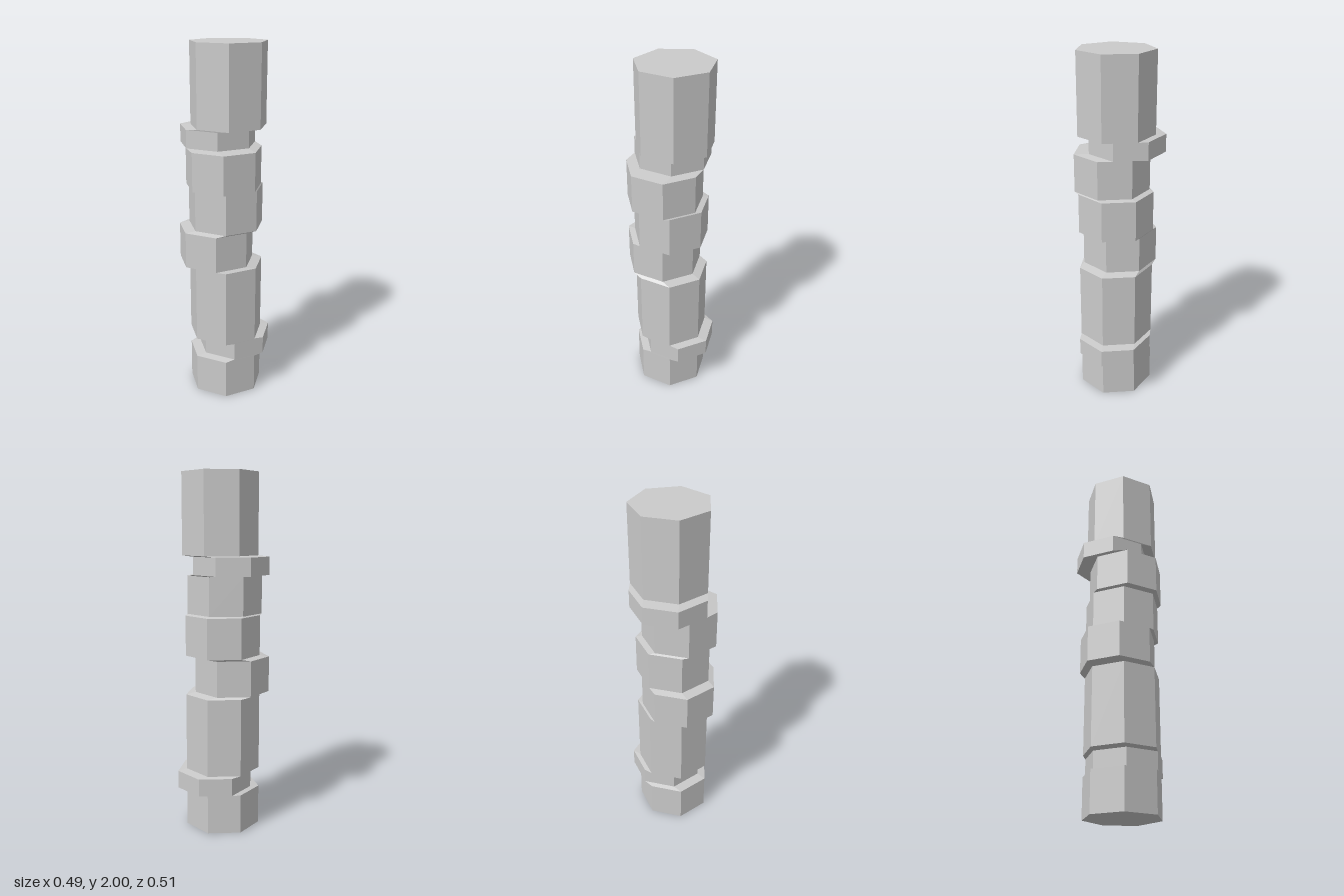
import * as THREE from 'three';

// Heptagonal column whose stacked segments are shifted sideways: [bottom, top, x, z]
const RADIUS = 0.213;
const SEGMENTS = [
  [0, 0.223, 0.008, 0.004],
  [0.231, 0.331, 0.032, -0.046],
  [0.337, 0.777, 0.008, 0.004],
  [0.789, 0.99, -0.029, 0.044],
  [1.0, 1.226, 0.008, 0.004],
  [1.232, 1.445, 0.019, 0.037],
  [1.452, 1.551, -0.054, -0.003],
  [1.557, 2, 0.0105, -0.016],
];

export function createModel() {
  const stone = new THREE.MeshStandardMaterial({ color: 0xcacaca });
  stone.name = 'light grey';

  // One ring at the bottom and one at the top of every segment
  const rings = SEGMENTS.flatMap(([y0, y1, x, z]) => [[x, y0, z], [x, y1, z]]);
  const steps = rings.length - 1;
  const base = new THREE.CylinderGeometry(RADIUS, RADIUS, 1, 7, steps, false, Math.PI / 2);

  // Slide each ring to its own centre and height
  const pos = base.attributes.position;
  for (let i = 0; i < pos.count; i++) {
    const [x, y, z] = rings[Math.round((pos.getY(i) + 0.5) * steps)];
    pos.setXYZ(i, pos.getX(i) + x, y, pos.getZ(i) + z);
  }

  // Flat facets
  const geometry = base.toNonIndexed();
  geometry.computeVertexNormals();

  const column = new THREE.Mesh(geometry, stone);
  column.name = 'column';
  const group = new THREE.Group();
  group.name = 'segmentedColumn';
  group.add(column);
  return group;
}
